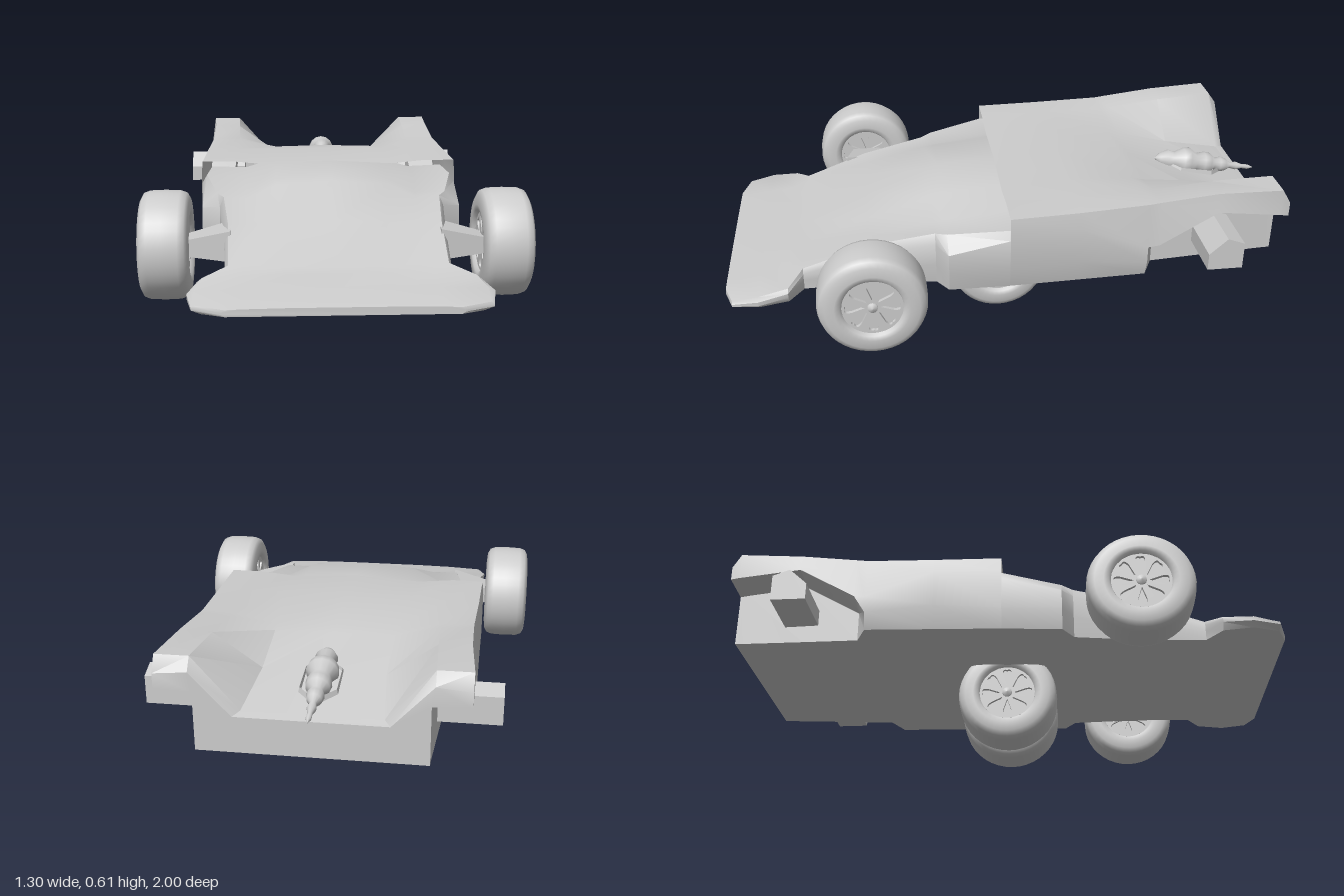
import * as THREE from 'three';
import { mergeGeometries, toCreasedNormals } from 'three/addons/utils/BufferGeometryUtils.js';
import { ConvexGeometry } from 'three/addons/geometries/ConvexGeometry.js';

const grey = new THREE.MeshStandardMaterial({ color: 0xcccccc, side: THREE.DoubleSide });

function add(parent, name, geometry) {
  const mesh = new THREE.Mesh(geometry, grey);
  mesh.name = name;
  parent.add(mesh);
  return mesh;
}

// The floor rises gently towards the tail
const floorY = (z) => 0.289 - 0.0241 * z;

// Half section: z, floor x, side, shoulder, upper edge, inner edge, deck edge (x, y each), centre y
const FRONT = [
  [1.0, 0.35, 0.36, 0.272, 0.36, 0.278, 0.35, 0.286, 0.3, 0.288, 0.16, 0.29, 0.29],
  [0.97, 0.42, 0.45, 0.277, 0.45, 0.285, 0.44, 0.292, 0.3, 0.295, 0.16, 0.297, 0.297],
  [0.88, 0.45, 0.47, 0.285, 0.47, 0.3, 0.45, 0.309, 0.3, 0.312, 0.16, 0.315, 0.315],
  [0.78, 0.43, 0.445, 0.295, 0.445, 0.31, 0.43, 0.322, 0.3, 0.328, 0.16, 0.331, 0.331],
  [0.73, 0.36, 0.36, 0.305, 0.36, 0.33, 0.35, 0.348, 0.3, 0.35, 0.16, 0.34, 0.34],
  [0.5, 0.365, 0.375, 0.34, 0.375, 0.4, 0.36, 0.43, 0.28, 0.425, 0.17, 0.43, 0.44],
  [0.27, 0.39, 0.4, 0.36, 0.4, 0.44, 0.385, 0.475, 0.3, 0.47, 0.2, 0.518, 0.53],
  [0.23, 0.45, 0.467, 0.36, 0.465, 0.43, 0.41, 0.482, 0.3, 0.48, 0.2, 0.53, 0.545],
  [0.02, 0.46, 0.479, 0.36, 0.478, 0.48, 0.46, 0.511, 0.32, 0.505, 0.2, 0.55, 0.562],
  [-0.15, 0.44, 0.465, 0.37, 0.465, 0.49, 0.45, 0.515, 0.32, 0.51, 0.2, 0.545, 0.55],
];
const REAR = [
  [0.02, 0.46, 0.48, 0.36, 0.48, 0.51, 0.475, 0.562, 0.365, 0.562, 0.24, 0.55, 0.563],
  [-0.22, 0.46, 0.48, 0.38, 0.48, 0.51, 0.47, 0.568, 0.36, 0.572, 0.23, 0.572, 0.575],
  [-0.46, 0.46, 0.48, 0.36, 0.48, 0.42, 0.462, 0.578, 0.355, 0.575, 0.2, 0.545, 0.55],
  [-0.5, 0.38, 0.38, 0.41, 0.48, 0.425, 0.462, 0.583, 0.355, 0.577, 0.2, 0.537, 0.54],
  [-0.7, 0.37, 0.37, 0.53, 0.48, 0.54, 0.465, 0.605, 0.36, 0.6, 0.2, 0.487, 0.485],
  [-0.92, 0.36, 0.36, 0.51, 0.48, 0.515, 0.48, 0.611, 0.37, 0.611, 0.22, 0.44, 0.44],
  [-0.95, 0.36, 0.36, 0.505, 0.48, 0.51, 0.48, 0.56, 0.37, 0.57, 0.24, 0.432, 0.432],
];

function ring([z, xb, ...p]) {
  const half = [[xb, floorY(z)]];
  for (let i = 0; i < 10; i += 2) half.push([p[i], p[i + 1]]);
  const mirrored = half.map(([x, y]) => [-x, y]).reverse();
  return [...half, [0, p[10]], ...mirrored];
}

function loft(sections, capFront, capBack) {
  const rings = sections.map(ring);
  const n = rings[0].length;
  const pos = [], idx = [];
  rings.forEach((r, i) => r.forEach(([x, y]) => pos.push(x, y, sections[i][0])));
  for (let i = 0; i < rings.length - 1; i++) {
    for (let j = 0; j < n; j++) {
      const a = i * n + j, b = i * n + ((j + 1) % n);
      idx.push(a, a + n, b, b, a + n, b + n);
    }
  }
  const cap = (i, flip) => {
    const pts = rings[i].map(([x, y]) => new THREE.Vector2(x, y));
    for (const [a, b, c] of THREE.ShapeUtils.triangulateShape(pts, [])) {
      const t = [a, b, c].map((k) => k + i * n);
      idx.push(...(flip ? t.reverse() : t));
    }
  };
  if (capFront) cap(0, false);
  if (capBack) cap(rings.length - 1, true);
  const g = new THREE.BufferGeometry();
  g.setAttribute('position', new THREE.Float32BufferAttribute(pos, 3));
  g.setIndex(idx);
  return toCreasedNormals(g, 0.6);
}

const lathe = (pts, seg) => new THREE.LatheGeometry(pts.map(([r, y]) => new THREE.Vector2(r, y)), seg);

// Wheel centred on its axle, which runs along x
function makeWheel(name, radius, width) {
  const wheel = new THREE.Group();
  wheel.name = name;
  const w = width / 2;
  const side = [[0.1, 0.8], [0.108, 0.97], [0.125, 1], [radius * 0.85, 0.96], [radius * 0.95, 0.84], [radius * 0.99, 0.6]];
  const profile = [
    ...side.map(([r, y]) => [r, -y * w]),
    [radius, 0],
    ...side.map(([r, y]) => [r, y * w]).reverse(),
  ];
  add(wheel, 'tyre', lathe(profile, 40).rotateZ(-Math.PI / 2));

  // Rim disc with eight petal openings, one on each face
  const disc = new THREE.Shape().absarc(0, 0, 0.102, 0, Math.PI * 2);
  for (let k = 0; k < 8; k++) {
    const a = (k / 8) * Math.PI * 2;
    const at = (r, t) => [r * Math.cos(a + t), r * Math.sin(a + t)];
    const hole = new THREE.Path();
    hole.moveTo(...at(0.026, 0));
    hole.lineTo(...at(0.07, -0.21));
    hole.quadraticCurveTo(...at(0.1, -0.2), ...at(0.09, 0));
    hole.quadraticCurveTo(...at(0.1, 0.2), ...at(0.07, 0.21));
    hole.closePath();
    disc.holes.push(hole);
  }
  for (const s of [-1, 1]) {
    const rim = new THREE.ExtrudeGeometry(disc, { depth: 0.012, bevelEnabled: false, curveSegments: 10 });
    add(wheel, 'rim', rim.translate(0, 0, w * 0.83 - 0.012).rotateY((s * Math.PI) / 2));
    const back = new THREE.CircleGeometry(0.105, 24).translate(0, 0, w * 0.5);
    add(wheel, 'rimBack', back.rotateY((s * Math.PI) / 2));
    const cap = lathe([[0.018, 0], [0.017, 0.006], [0, 0.011]], 12);
    add(wheel, 'hubCap', cap.translate(0, w * 0.83, 0).rotateZ((-s * Math.PI) / 2));
  }
  return wheel;
}

export function createModel() {
  const car = new THREE.Group();
  car.name = 'car';

  // Front body runs on inside the rear body, leaving open intakes at the shoulders
  add(car, 'frontBody', loft(FRONT, true, true));
  add(car, 'rearBody', loft(REAR, false, true));

  for (const s of [-1, 1]) {
    const label = s > 0 ? 'left' : 'right';

    const front = makeWheel(label + 'FrontWheel', 0.184, 0.168);
    front.position.set(s * 0.566, 0.36, 0.495);
    car.add(front);

    const centre = makeWheel(label + 'CentreWheel', 0.182, 0.172);
    centre.position.set(s * 0.09, 0.182, 0.02);
    car.add(centre);

    // Tapered arm carrying the front wheel
    const corners = [];
    for (const [x, z0, z1, y0, y1] of [[0.35, 0.395, 0.57, 0.315, 0.42], [0.5, 0.44, 0.545, 0.33, 0.385]])
      for (const z of [z0, z1]) for (const y of [y0, y1]) corners.push(new THREE.Vector3(s * x, y, z));
    add(car, label + 'FrontArm', new ConvexGeometry(corners));

    // Five-sided stub under the rear fender
    const stub = new THREE.Shape(
      [[0.648, 0.37], [0.77, 0.37], [0.77, 0.465], [0.71, 0.487], [0.648, 0.43]].map(([x, y]) => new THREE.Vector2(x, y)),
    );
    const pipe = new THREE.ExtrudeGeometry(stub, { depth: 0.23, bevelEnabled: false }).rotateY(Math.PI / 2);
    add(car, label + 'SideStub', pipe.translate(s > 0 ? 0.34 : -0.57, 0, 0));
  }

  // Beaded tail spike lying in a six-sided collar on the rear deck
  const spike = new THREE.Group();
  spike.name = 'tailSpike';
  const beads = [[0, 0], [0.022, 0.02], [0.037, 0.05], [0.03, 0.075], [0.05, 0.11], [0.053, 0.135], [0.034, 0.165],
    [0.042, 0.195], [0.039, 0.22], [0.022, 0.24], [0.029, 0.262], [0.024, 0.285], [0.011, 0.305], [0.015, 0.33],
    [0.008, 0.355], [0.009, 0.38], [0, 0.404]];
  add(spike, 'beads', lathe(beads, 14).rotateX(-Math.PI / 2));
  const collar = lathe([[0.062, -0.02], [0.068, 0.008], [0.075, -0.02]], 6).scale(1, 1, 1.75);
  add(spike, 'collar', toCreasedNormals(collar.translate(0, -0.012, -0.155), 0.4));
  spike.position.set(0, 0.518, -0.6);
  spike.rotation.x = -0.165;
  car.add(spike);

  return car;
}
